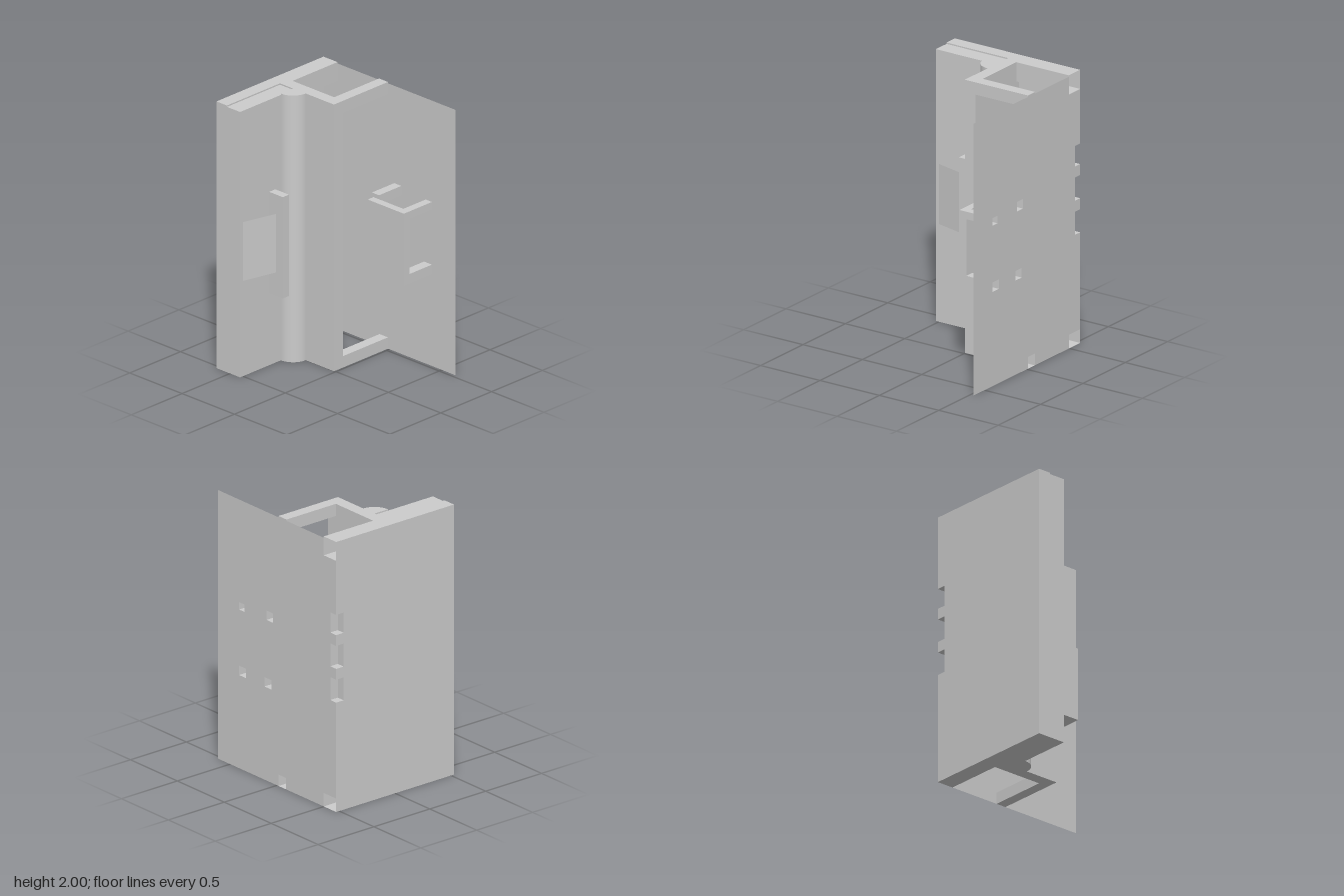
import * as THREE from 'three';

const BACK = -0.527, FRONT = 0.527, LEFT = -0.63, RIGHT = 0.63;

export function createModel() {
  const model = new THREE.Group();
  const material = new THREE.MeshStandardMaterial({ color: 0xcccccc, side: THREE.DoubleSide });

  function add(name, geometry) {
    const mesh = new THREE.Mesh(geometry, material);
    mesh.name = name;
    model.add(mesh);
    return mesh;
  }

  // Box between two corners; faces picks sides in the order +x -x +y -y +z -z
  function box(name, [x0, x1], [y0, y1], [z0, z1], faces = [0, 1, 2, 3, 4, 5]) {
    const g = new THREE.BoxGeometry(x1 - x0, y1 - y0, z1 - z0);
    const all = Array.from(g.index.array);
    g.setIndex(faces.flatMap((f) => all.slice(f * 6, f * 6 + 6)));
    g.clearGroups();
    g.translate((x0 + x1) / 2, (y0 + y1) / 2, (z0 + z1) / 2);
    return add(name, g);
  }
  const tube = (name, x, y, z) => box(name, x, y, z, [0, 1, 2, 3]);
  const points = (list) => list.map(([x, y]) => new THREE.Vector2(x, y));

  // Recesses down the rear corner, listed from the bottom up
  const slots = [[0.81, 0.98], [1.06, 1.23], [1.31, 1.46]];
  const slotX = -0.567, slotZ = -0.46;
  const slotEdge = (outer, inner) =>
    slots.flatMap(([a, b]) => [[outer, a], [inner, a], [inner, b], [outer, b]]);

  // Hollow legs of the small bracket: x range, y range
  const legs = [
    [[0.045, 0.113], [1.19, 1.26]],
    [[0.345, 0.405], [1.175, 1.23]],
    [[0.06, 0.135], [0.69, 0.76]],
    [[0.33, 0.405], [0.69, 0.76]],
  ];

  // Thin back panel with leg holes and notched edges
  const back = new THREE.Shape(points([
    [RIGHT, 1.99], [-0.497, 1.99], [-0.497, 1.86], [LEFT, 1.86],
    ...slotEdge(LEFT, slotX).reverse(),
    [LEFT, 0.1], [-0.497, 0.1], [-0.497, 0],
    [-0.095, 0], [-0.095, 0.085], [-0.015, 0.085], [-0.015, 0], [RIGHT, 0],
  ]));
  for (const [[x0, x1], [y0, y1]] of legs) {
    back.holes.push(new THREE.Path(points([[x0, y0], [x0, y1], [x1, y1], [x1, y0]])));
  }
  add('backPanel', new THREE.ShapeGeometry(back).rotateY(Math.PI).scale(-1, 1, 1).translate(0, 0, BACK));

  // Thin side panel, drawn as (z, y) and turned to face -x
  const side = new THREE.Shape(points([
    [0.005, 0], [0.005, 2], [BACK, 2], ...slotEdge(BACK, slotZ).reverse(), [BACK, 0],
  ]));
  add('sidePanel', new THREE.ShapeGeometry(side).rotateY(-Math.PI / 2).translate(LEFT, 0, 0));

  // Recess walls, open to the side and the back
  for (const y of slots) box('cornerRecess', [LEFT, slotX], y, [BACK, slotZ], [0, 2, 3, 4]);

  // Hollow rails of the side wall
  tube('sideRailTop', [LEFT, -0.497], [1.86, 2], [BACK, 0.005]);
  tube('sideRailBottom', [LEFT, -0.497], [0, 0.1], [BACK, 0.005]);

  // Front post in two layers
  box('postOuter', [LEFT, -0.53], [0, 2], [0.005, FRONT]);
  box('postInner', [-0.53, -0.405], [0, 1.99], [0.005, FRONT]);

  // Front plate with its two arms reaching back
  box('frontPlate', [-0.53, -0.015], [0, 2], [-0.085, 0.005]);
  box('plateArmTop', [-0.1, -0.015], [1.91, 2], [BACK, -0.085]);
  tube('plateArmBottom', [-0.095, -0.015], [0, 0.085], [BACK, -0.085]);

  // Quarter-round column in the inner corner
  const column = new THREE.Shape();
  column.moveTo(0, 0);
  column.lineTo(0.12, 0);
  column.absarc(0, 0, 0.12, 0, -Math.PI / 2, true);
  column.lineTo(0, 0);
  const columnGeometry = new THREE.ExtrudeGeometry(column, { depth: 2, bevelEnabled: false, curveSegments: 24 });
  columnGeometry.rotateX(-Math.PI / 2).translate(-0.405, 0, 0.005);
  add('quarterColumn', columnGeometry);

  // Tab on the post and the thin sloping sheet in front of it
  box('postTab', [-0.405, -0.275], [0.54, 1.3], [0.18, 0.24]);
  const run = Math.hypot(0.065, 0.26);
  const sheet = new THREE.PlaneGeometry(run, 0.44).rotateY(Math.atan2(0.26, 0.065));
  add('slopingSheet', sheet.translate(-0.3725, 0.935, 0.37));

  // Small bracket standing off the back panel
  box('bracketPlate', [0.06, 0.405], [0.69, 1.23], [-0.307, -0.25]);
  for (const [x, y] of legs) box('bracketLeg', x, y, [BACK, -0.307], [0, 1, 2, 3, 4]);

  return model;
}
